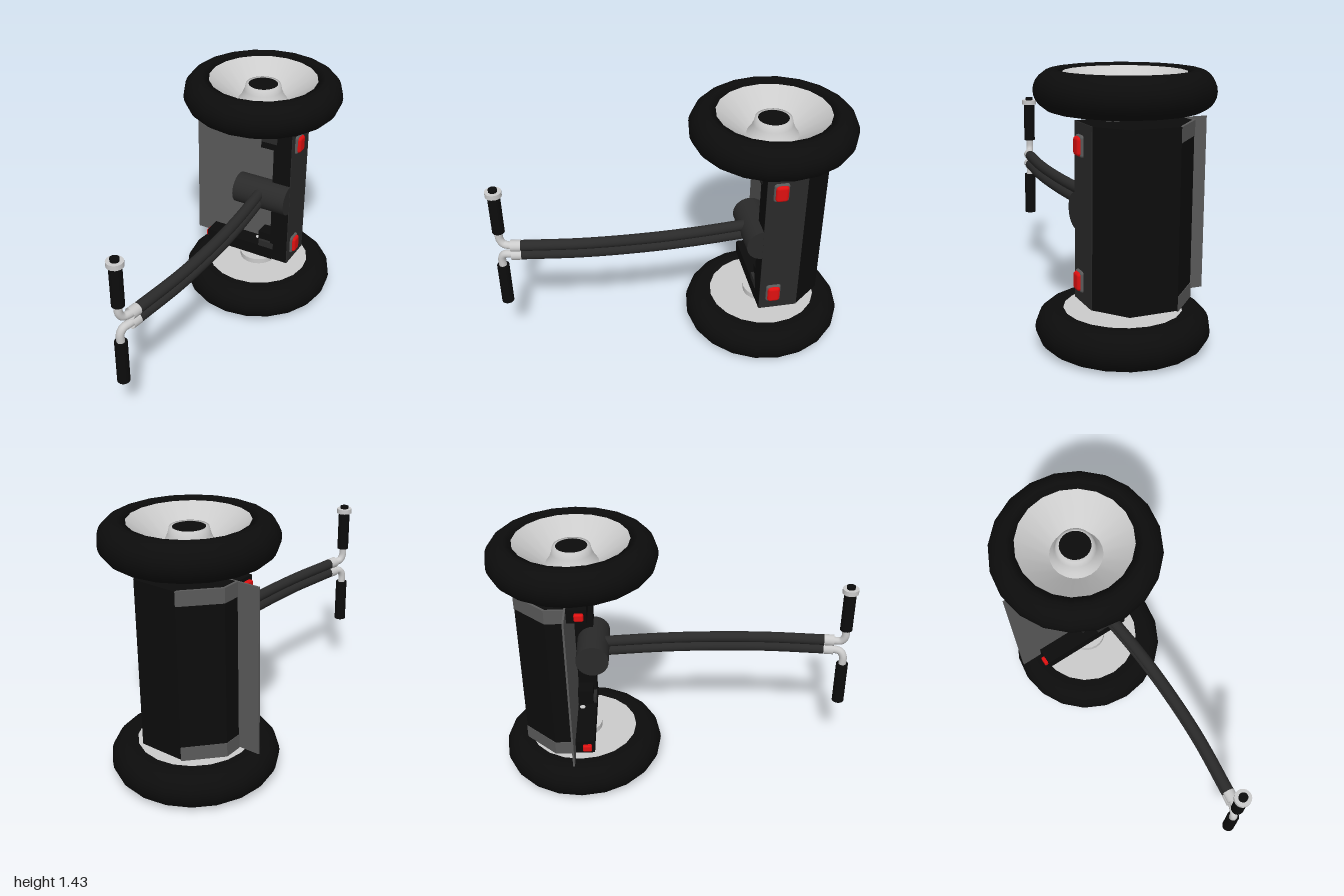
import * as THREE from 'three';
import { RoundedBoxGeometry } from 'three/addons/geometries/RoundedBoxGeometry.js';

const MID = 0.7175;   // mirror plane between the two wheels
const AXLE_Z = -0.545;

const mat = (color, extra = {}) => new THREE.MeshStandardMaterial({ color, ...extra });
const black = mat(0x0c0c0c);
const blackFlat = mat(0x0c0c0c, { flatShading: true });
const dark = mat(0x2a2a2a);
const deckGrey = mat(0x5a5a5a);
const grey = mat(0xcccccc);
const greySheet = mat(0xcccccc, { side: THREE.DoubleSide });
const red = mat(0xe01010);

export function createModel() {
  const root = new THREE.Group();

  function add(name, geometry, material, x = 0, y = 0, z = 0, parent = root) {
    const mesh = new THREE.Mesh(geometry, material);
    mesh.name = name;
    mesh.position.set(x, y, z);
    parent.add(mesh);
    return mesh;
  }
  // Box given by its lower and upper limits on each axis
  function box(name, material, [x0, x1], [y0, y1], [z0, z1]) {
    return add(name, new THREE.BoxGeometry(x1 - x0, y1 - y0, z1 - z0), material,
      (x0 + x1) / 2, (y0 + y1) / 2, (z0 + z1) / 2);
  }
  // Outline in x and z, extruded downwards from a top height
  function prism(name, points, top, height, material) {
    const shape = new THREE.Shape(points.map(([x, z]) => new THREE.Vector2(x, z)));
    const g = new THREE.ExtrudeGeometry(shape, { depth: height, bevelEnabled: false });
    return add(name, g.rotateX(Math.PI / 2), material, 0, top, 0);
  }
  const lathe = (pts, n) => new THREE.LatheGeometry(pts.map(p => new THREE.Vector2(...p)), n);
  const path = pts => new THREE.CatmullRomCurve3(pts.map(p => new THREE.Vector3(...p)));

  // Wheel with its outer face pointing up; local y = 0 is the inner face
  function wheel() {
    const g = new THREE.Group();
    const tyre = [[0.31, 0.004]];
    for (let i = 0; i <= 12; i++) {
      const a = -Math.PI / 2 + Math.PI * i / 12;
      tyre.push([0.352 + 0.103 * Math.cos(a), 0.103 + 0.103 * Math.sin(a)]);
    }
    tyre.push([0.31, 0.192], [0.31, 0.004]);
    add('tyre', lathe(tyre, 20), black, 0, 0, 0, g);
    add('rimDish', lathe([[0.13, 0.05], [0.31, 0.192]], 20), greySheet, 0, 0, 0, g);
    add('innerDisc', lathe([[0, 0.006], [0.31, 0.006]], 20), greySheet, 0, 0, 0, g);
    add('hub', lathe([[0.15, 0.05], [0.125, 0.08], [0.108, 0.12], [0.1, 0.155], [0.084, 0.155]], 24),
      greySheet, 0, 0, 0, g);
    add('hubCap', new THREE.CylinderGeometry(0.085, 0.085, 0.1, 24), black, 0, 0.103, 0, g);
    add('hubFlange', new THREE.CylinderGeometry(0.11, 0.11, 0.032, 24), grey, 0, -0.014, 0, g);
    add('axle', new THREE.CylinderGeometry(0.016, 0.016, 0.12, 12), grey, 0, -0.07, 0, g);
    return g;
  }
  for (const s of [1, -1]) {
    const w = wheel();
    w.name = s > 0 ? 'upperWheel' : 'lowerWheel';
    w.position.set(0, MID + s * 0.5115, AXLE_Z);
    if (s < 0) w.rotation.z = Math.PI;
    root.add(w);
  }

  // Chassis with chamfered underside
  prism('chassis', [[0.232, -0.58], [0.232, -0.69], [0.1, -0.85], [-0.16, -0.85],
    [-0.32, -0.68], [-0.32, -0.58]], 1.18, 0.92, blackFlat);
  box('deck', deckGrey, [-0.445, 0.13], [0.26, 1.18], [-0.58, -0.57]);
  box('frontBeam', black, [0.12, 0.232], [0.26, 1.18], [-0.582, -0.465]);
  box('frontPanel', dark, [0.23, 0.236], [0.26, 1.18], [-0.69, -0.466]);

  // Side rails, trims, brackets and lamps, repeated at both ends
  for (const s of [1, -1]) {
    const span = (a, b) => [MID + s * a, MID + s * b].sort((p, q) => p - q);
    box('sideRail', black, [-0.32, 0.13], span(0.385, 0.4625), [-0.575, -0.465]);
    prism('railTrim', [[-0.16, -0.853], [-0.323, -0.682], [-0.323, -0.58],
      [-0.31, -0.58], [-0.31, -0.675], [-0.16, -0.835]], span(0.385, 0.4635)[1], 0.0785, deckGrey);
    box('bracket', black, [0.03, 0.13], span(0.295, 0.39), [-0.572, -0.482]);
    box('bracketBar', dark, [0.04, 0.14], span(0.345, 0.386), [-0.5, -0.464]);

    const y = MID + s * 0.347;
    add('frontLampBezel', new RoundedBoxGeometry(0.035, 0.112, 0.086, 2, 0.015), deckGrey, 0.234, y, AXLE_Z);
    add('frontLamp', new RoundedBoxGeometry(0.04, 0.098, 0.072, 2, 0.018), red, 0.246, y, AXLE_Z);
    add('rearLamp', new RoundedBoxGeometry(0.03, 0.04, 0.05, 2, 0.008), red, -0.326, MID + s * 0.424, -0.505);
  }

  // Steering pivot lying across the front of the deck
  const pivot = add('steeringPivot', new THREE.CylinderGeometry(0.092, 0.092, 0.335, 28), dark, 0.067, MID, -0.467);
  pivot.rotation.z = Math.PI / 2;

  // Twin-tube column, collars, bent bars and grips
  for (const s of [1, -1]) {
    const y = MID + s * 0.029;
    const column = path([[0.06, y, -0.45], [0.085, y, -0.1], [0.09, y, 0.15],
      [0.075, y, 0.5], [0.032, y, 0.85]]);
    add('columnTube', new THREE.TubeGeometry(column, 32, 0.031, 16), dark);
    const collar = path([[0.033, y, 0.845], [0.024, y, 0.9]]);
    add('columnCollar', new THREE.TubeGeometry(collar, 2, 0.0325, 16), greySheet);
    const bar = path([[0.03, y, 0.86], [0.02, y, 0.905], [0.008, MID + s * 0.036, 0.938],
      [0, MID + s * 0.065, 0.955], [0, MID + s * 0.13, 0.955]]);
    add('handlebar', new THREE.TubeGeometry(bar, 24, 0.022, 14), grey);
    add('grip', new THREE.CylinderGeometry(0.034, 0.034, 0.258, 20), black, 0, MID + s * 0.243, 0.955);
  }
  // End cap with button on the upper grip
  add('gripCap', new THREE.CylinderGeometry(0.045, 0.045, 0.028, 20), grey, 0, 1.08, 0.955);
  add('gripButton', new THREE.CylinderGeometry(0.024, 0.024, 0.05, 16), black, 0, 1.085, 0.955);

  return root;
}
